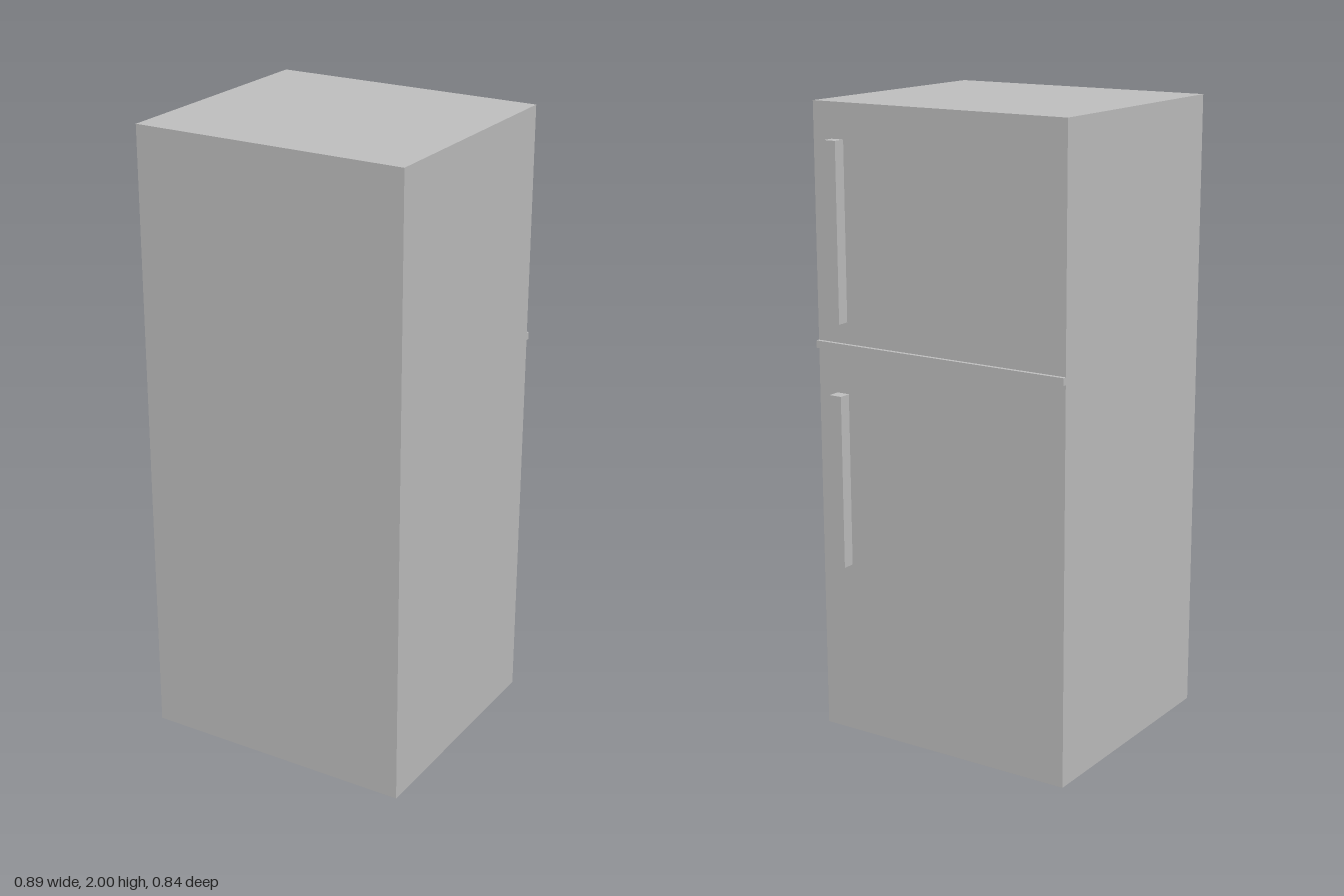
import * as THREE from 'three';

const steel = new THREE.MeshStandardMaterial({ color: 0xc0c0c0 });
steel.name = 'light grey';

// Box given by its minimum and maximum on each axis
function addBox(group, name, [x0, x1], [y0, y1], [z0, z1]) {
  const mesh = new THREE.Mesh(new THREE.BoxGeometry(x1 - x0, y1 - y0, z1 - z0), steel);
  mesh.position.set((x0 + x1) / 2, (y0 + y1) / 2, (z0 + z1) / 2);
  mesh.name = name;
  group.add(mesh);
}

export function createModel() {
  const group = new THREE.Group();
  group.name = 'refrigerator';
  const width = [-0.444, 0.444];
  const doorZ = -0.38;

  // Cabinet, with the doors on the -z side
  addBox(group, 'cabinet', width, [0, 2], [doorZ, 0.42]);

  // Ridge between the freezer door and the lower door
  addBox(group, 'doorDivider', width, [1.247, 1.27], [-0.393, doorZ]);

  // Upright handles near the door edge
  addBox(group, 'freezerHandle', [0.333, 0.376], [1.337, 1.89], [-0.42, doorZ]);
  addBox(group, 'fridgeHandle', [0.333, 0.376], [0.56, 1.112], [-0.42, doorZ]);

  return group;
}
